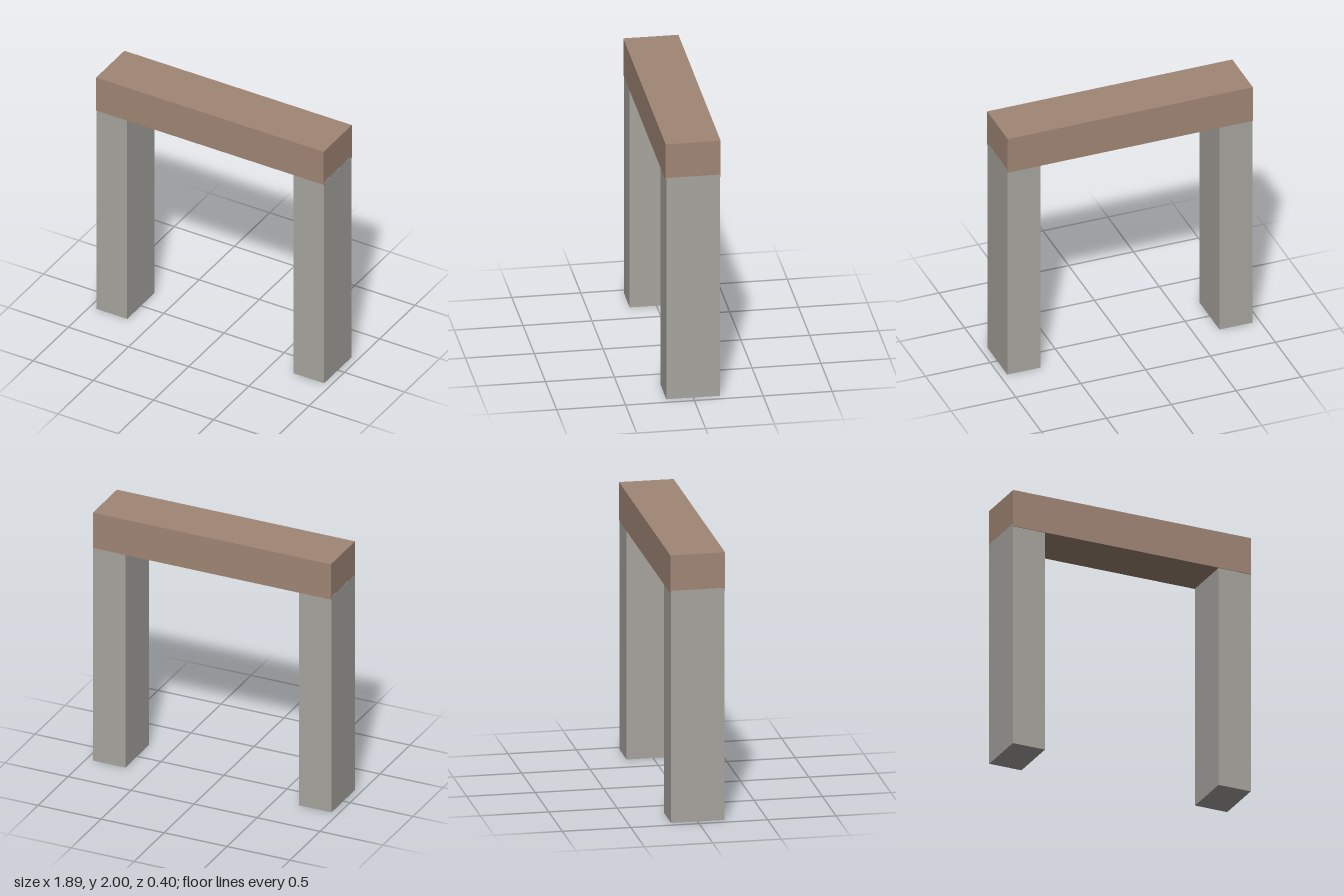
import * as THREE from 'three';

const stone = new THREE.MeshStandardMaterial({ color: 0xa8a59f });
const wood = new THREE.MeshStandardMaterial({ color: 0xa08675 });

// Box given by its centre x, bottom y and size
function block(name, material, x, y, w, h, d) {
  const mesh = new THREE.Mesh(new THREE.BoxGeometry(w, h, d), material);
  mesh.name = name;
  mesh.position.set(x, y + h / 2, 0);
  return mesh;
}

export function createModel() {
  const group = new THREE.Group();
  group.name = 'gateway';

  // Lintel across the top
  group.add(block('lintel', wood, 0, 1.715, 1.89, 0.285, 0.4));

  // Two posts, their tops let slightly into the lintel
  for (const side of [-1, 1]) {
    const name = side > 0 ? 'leftPost' : 'rightPost';
    group.add(block(name, stone, side * 0.818, 0, 0.256, 1.735, 0.39));
  }
  return group;
}
